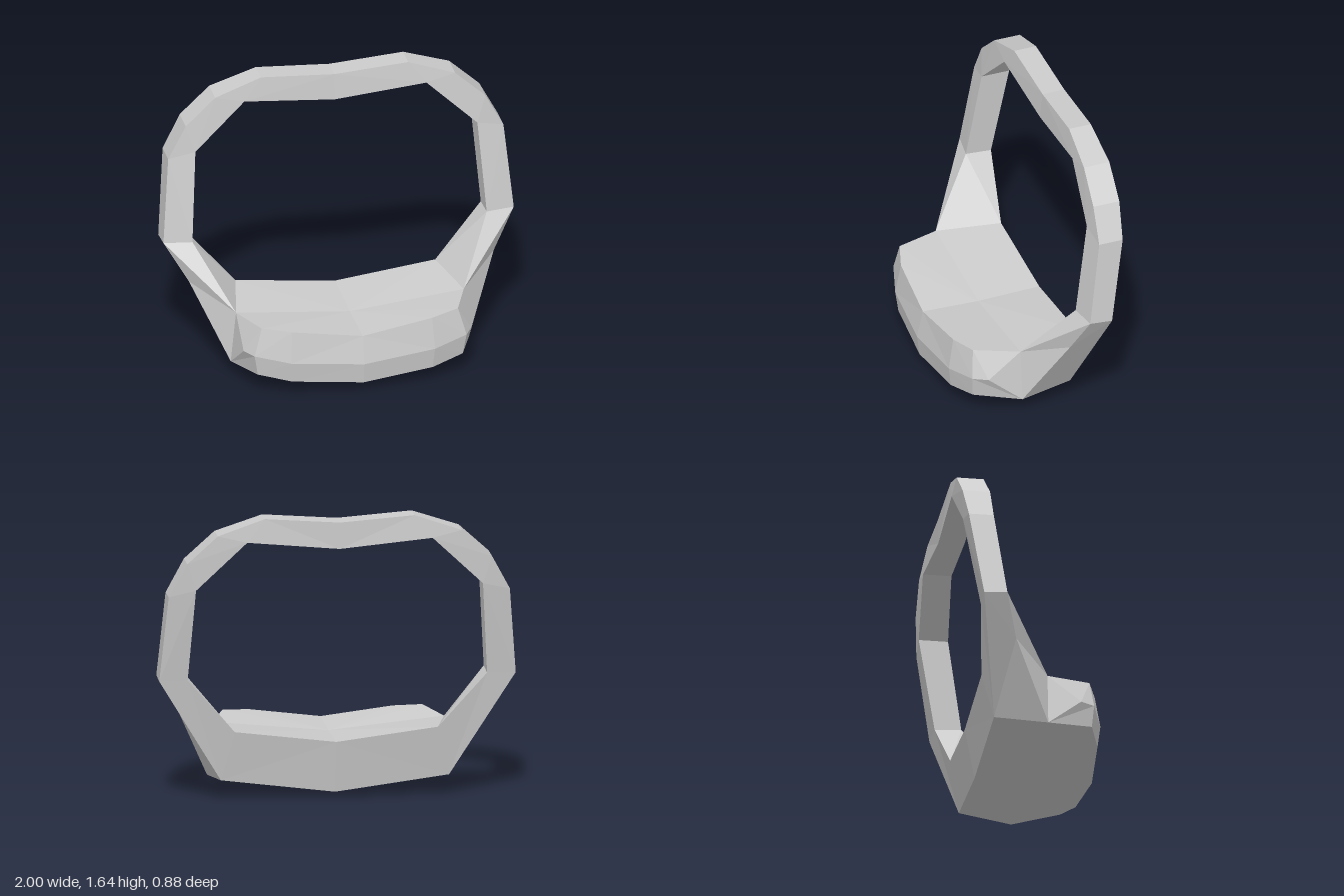
import * as THREE from 'three';

// Collects polygons for the +x half and mirrors each one to -x
function halfBuilder() {
  const pos = [];
  const tri = (a, b, c) => {
    if (a === b || b === c || a === c) return;
    pos.push(...a, ...b, ...c);
    for (const p of [a, c, b]) pos.push(-p[0], p[1], p[2]);
  };
  const fan = (...p) => {
    for (let i = 1; i < p.length - 1; i++) tri(p[0], p[i], p[i + 1]);
  };
  const strip = (a, b) => {
    for (let i = 0; i < a.length - 1; i++) fan(a[i], b[i], b[i + 1], a[i + 1]);
  };
  const mesh = (name) => {
    const g = new THREE.BufferGeometry();
    g.setAttribute('position', new THREE.Float32BufferAttribute(pos, 3));
    g.computeVertexNormals();
    const m = new THREE.Mesh(g, new THREE.MeshStandardMaterial({ color: 0xcccccc, flatShading: true }));
    m.name = name;
    return m;
  };
  return { fan, strip, mesh };
}

export function createModel() {
  const group = new THREE.Group();
  group.name = 'hoopBackSeat';

  // Corners shared by the hoop and the seat
  const seatSide = [0.65, 0.385, 0.08];
  const seatBack = [0.57, 0.4, -0.28];
  const footFront = [0.68, 0.085, 0.08];
  const footBack = [0.64, 0.115, -0.22];

  // Hoop: four edge lines from the top centre down to the foot
  const frame = halfBuilder();
  const innerFront = [[0, 1.46, -0.29], [0.52, 1.51, -0.28], null, [0.805, 1.24, -0.255], null,
    [0.84, 0.72, -0.175], seatSide, null];
  const innerBack = [[0, 1.46, -0.435], [0.52, 1.51, -0.44], null, [0.805, 1.24, -0.42], null,
    [0.84, 0.71, -0.325], seatBack, null];
  const outerFront = [[0, 1.61, -0.305], [0.42, 1.64, -0.3], [0.685, 1.55, -0.285], [0.855, 1.395, -0.275],
    [0.957, 1.205, -0.27], [1, 0.72, -0.2], [0.87, 0.5, -0.13], footFront];
  const outerBack = [[0, 1.61, -0.435], [0.42, 1.64, -0.43], [0.685, 1.55, -0.437], [0.855, 1.395, -0.43],
    [0.957, 1.205, -0.41], [1, 0.71, -0.33], footBack, null];
  // A null repeats the previous corner, so the strip narrows to a triangle there
  const edges = [outerFront, innerFront, innerBack, outerBack];
  for (const e of edges) e.forEach((p, i) => { if (!p) e[i] = e[i - 1]; });
  edges.forEach((e, i) => frame.strip(e, edges[(i + 1) % 4]));
  group.add(frame.mesh('backHoop'));

  // Seat block: rows run from the centre line round to the side
  const seat = halfBuilder();
  const rim = [[0, 0.33, 0.41], [0.4, 0.385, 0.385], [0.56, 0.4, 0.33], seatSide];
  const belt = [[0, 0.17, 0.445], [0.41, 0.205, 0.415], [0.605, 0.24, 0.35], [0.65, 0.24, 0.27]];
  const sill = [[0, 0.05, 0.43], [0.4, 0.085, 0.4], [0.585, 0.12, 0.34], footFront];
  const backTop = [0, 0.33, -0.285];
  const backLow = [0, 0.035, -0.23];
  seat.strip(rim, belt);
  seat.strip(belt, sill);
  seat.fan(seatSide, belt[3], footFront);
  // Seat top, underside and rear panel
  seat.fan([0, 0.32, 0.08], ...rim, seatBack, backTop);
  seat.fan([0, 0, 0.08], backLow, footBack, ...sill.slice().reverse());
  seat.fan(backTop, seatBack, footBack, backLow);
  group.add(seat.mesh('seat'));

  return group;
}
